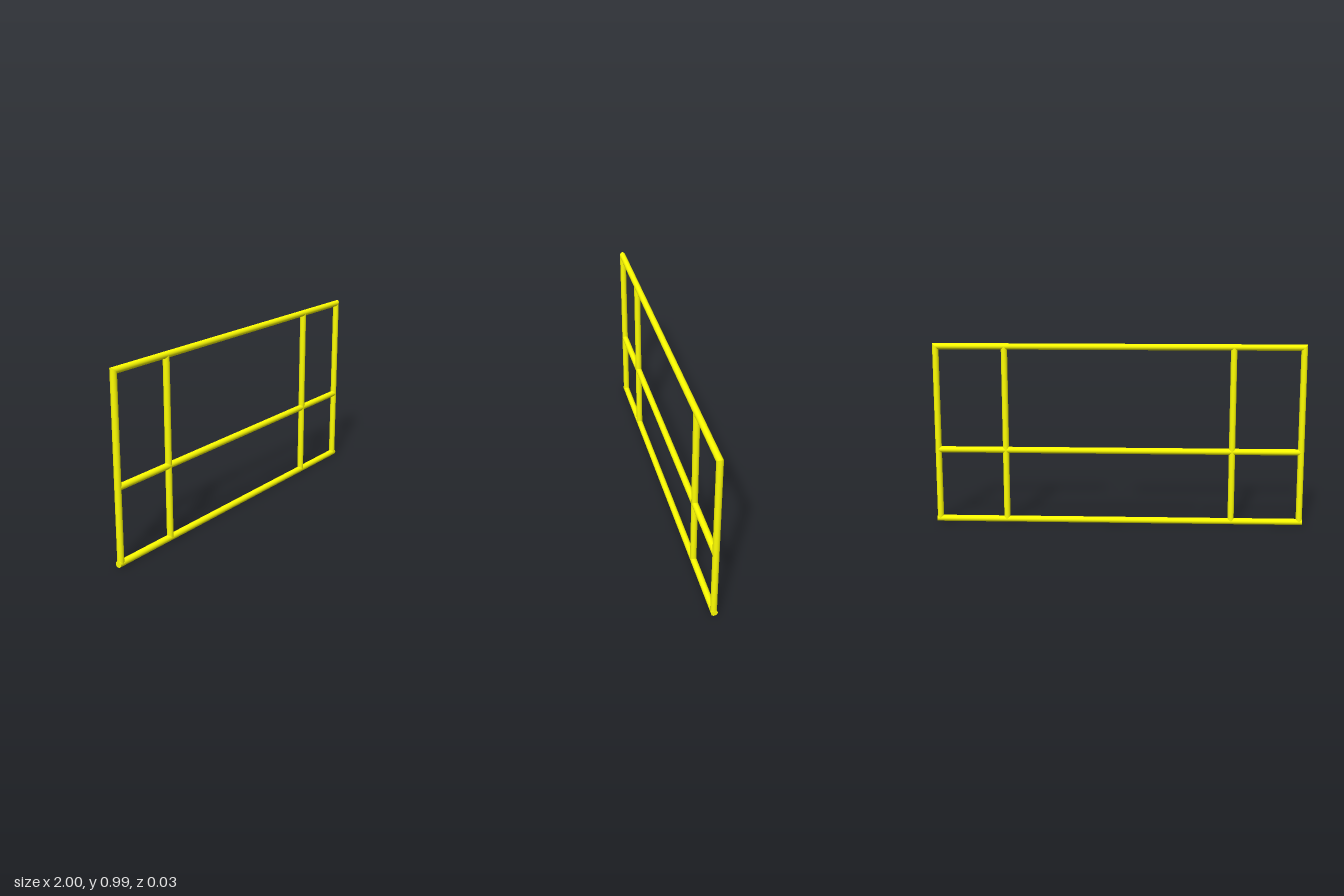
import * as THREE from 'three';

const R = 0.017;            // tube radius
const X = 1 - R;            // centre line of the outer posts
const TOP = 0.968, MID = 0.404, BOTTOM = R;
const INNER = 0.613;        // centre line of the inner posts

const material = new THREE.MeshStandardMaterial({ color: 0xffff00 });

// Upright tube; the miters slant its lower and upper ends at 45 degrees along x
function tube(name, length, lowMiter = 0, highMiter = 0) {
  const open = lowMiter !== 0 && highMiter !== 0;
  const geometry = new THREE.CylinderGeometry(R, R, length, 32, 1, open);
  const p = geometry.attributes.position;
  for (let i = 0; i < p.count; i++) {
    const slant = p.getY(i) > 0 ? highMiter : lowMiter;
    p.setY(i, p.getY(i) + slant * p.getX(i));
  }
  const mesh = new THREE.Mesh(geometry, material);
  mesh.name = name;
  return mesh;
}

export function createModel() {
  const group = new THREE.Group();
  group.name = 'railFrame';

  // Horizontal rails: the top one is mitered into the outer posts
  const rails = [
    ['topRail', TOP, 2 * X, 1, -1],
    ['middleRail', MID, 2 * X, 0, 0],
    ['bottomRail', BOTTOM, 2, 0, 0],
  ];
  for (const [name, y, length, low, high] of rails) {
    const rail = tube(name, length, low, high);
    rail.rotation.z = -Math.PI / 2;
    rail.position.y = y;
    group.add(rail);
  }

  // Mirrored outer and inner posts
  const height = TOP - BOTTOM;
  for (const [side, s] of [['left', 1], ['right', -1]]) {
    const outer = tube(side + 'OuterPost', height, 0, s);
    const inner = tube(side + 'InnerPost', height);
    outer.position.set(s * X, (TOP + BOTTOM) / 2, 0);
    inner.position.set(s * INNER, (TOP + BOTTOM) / 2, 0);
    group.add(outer, inner);
  }
  return group;
}
